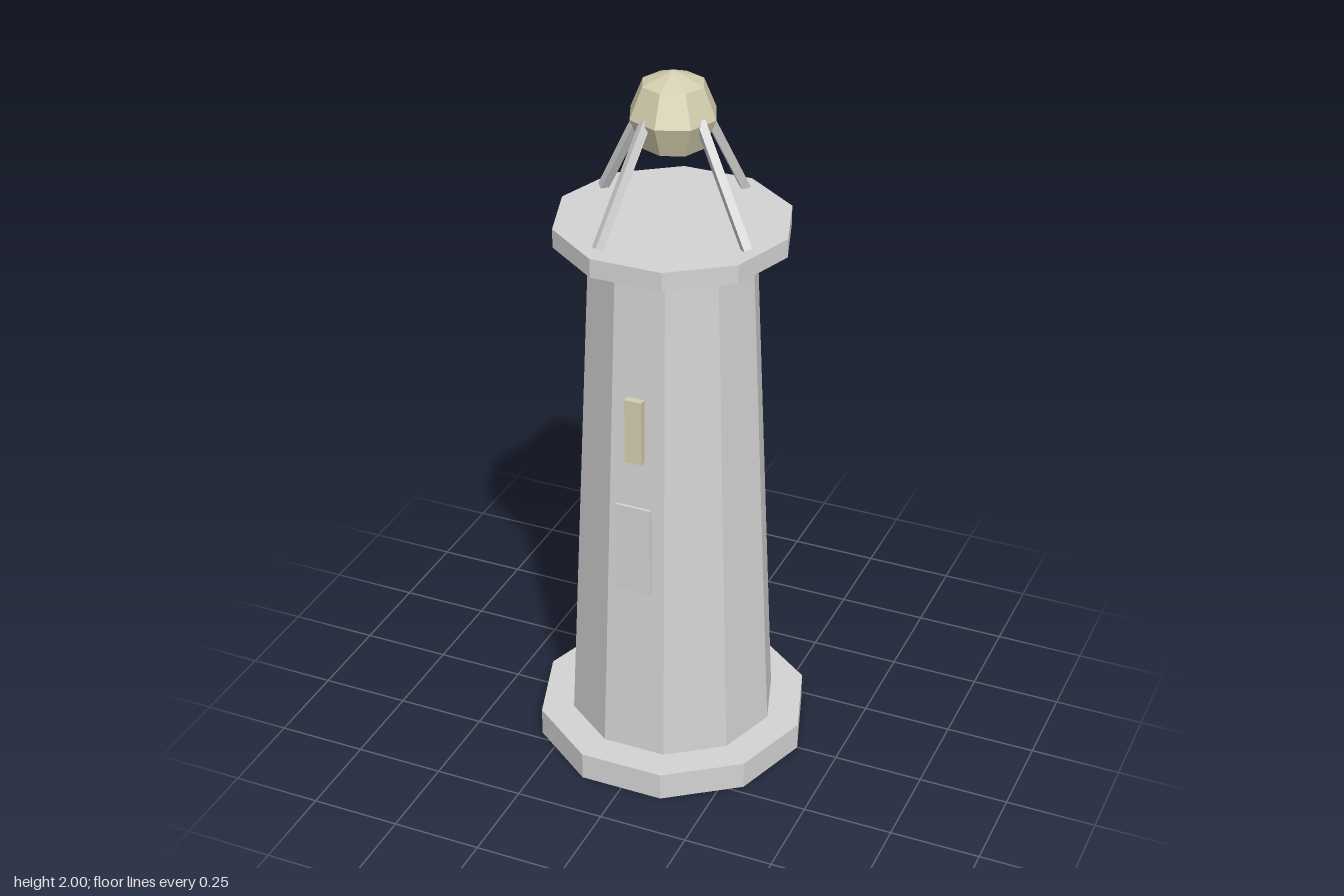
import * as THREE from 'three';

const stone = new THREE.MeshStandardMaterial({ color: 0xd3d3d3 });
stone.name = 'pale grey stone';
const cream = new THREE.MeshStandardMaterial({ color: 0xd3cdae });
cream.name = 'cream glass';

// Faceted mesh: every face gets its own normals
function part(name, geometry, material, x = 0, y = 0, z = 0) {
  const flat = geometry.toNonIndexed();
  flat.computeVertexNormals();
  const mesh = new THREE.Mesh(flat, material);
  mesh.name = name;
  mesh.position.set(x, y, z);
  return mesh;
}

// Ten-sided drum between two heights, with a corner on the x axis
function drum(name, rTop, rBottom, y0, y1) {
  const g = new THREE.CylinderGeometry(rTop, rBottom, y1 - y0, 10, 1, false, Math.PI / 2);
  return part(name, g, stone, 0, (y0 + y1) / 2, 0);
}

// Square rod between two points
function rod(name, a, b, radius) {
  const dir = b.clone().sub(a);
  const mesh = part(name, new THREE.CylinderGeometry(radius, radius, dir.length(), 4), stone);
  mesh.position.copy(a).add(b).multiplyScalar(0.5);
  mesh.quaternion.setFromUnitVectors(new THREE.Vector3(0, 1, 0), dir.normalize());
  return mesh;
}

export function createModel() {
  const model = new THREE.Group();
  model.name = 'lighthouse';

  // Masonry
  model.add(drum('base', 0.383, 0.383, 0, 0.08));
  model.add(drum('tower', 0.224, 0.29, 0.08, 1.54));
  model.add(drum('galleryPlatform', 0.317, 0.317, 1.54, 1.592));

  // Door and window panels standing just off the front face
  model.add(part('door', new THREE.BoxGeometry(0.1, 0.265, 0.008), stone, 0, 0.732, 0.266));
  model.add(part('window', new THREE.BoxGeometry(0.048, 0.186, 0.02), cream, 0, 1.09, 0.254));

  // Four leaning struts carrying the lamp
  const struts = new THREE.Group();
  struts.name = 'lampStruts';
  for (let i = 0; i < 4; i++) {
    const angle = Math.PI / 8 + (i * Math.PI) / 2;
    const at = (r, y) => new THREE.Vector3(r * Math.cos(angle), y, r * Math.sin(angle));
    struts.add(rod('strut' + (i + 1), at(0.265, 1.592), at(0.095, 1.89), 0.016));
  }
  model.add(struts);

  // Faceted lamp
  model.add(part('lamp', new THREE.SphereGeometry(0.118, 8, 4), cream, 0, 1.882, 0));

  return model;
}
